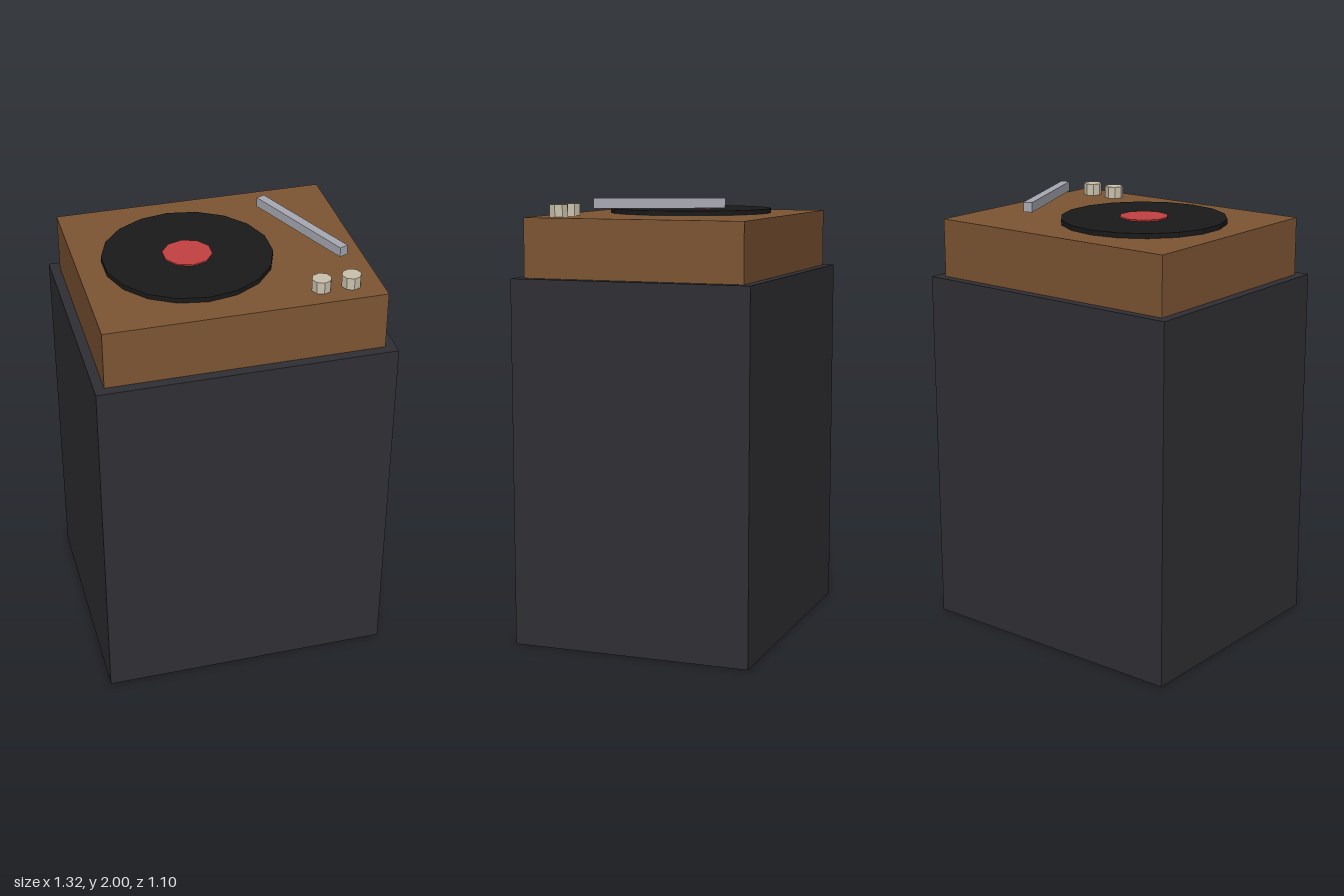
import * as THREE from 'three';

const material = (color) => new THREE.MeshStandardMaterial({ color, flatShading: true });

export function createModel() {
  const model = new THREE.Group();
  model.name = 'turntableOnCabinet';

  // Adds a part whose underside sits at height y
  const add = (name, geometry, mat, x, y, z, height) => {
    const mesh = new THREE.Mesh(geometry, mat);
    mesh.name = name;
    mesh.position.set(x, y + height / 2, z);
    model.add(mesh);
    return mesh;
  };
  const box = (name, mat, [w, h, d], [x, y, z]) =>
    add(name, new THREE.BoxGeometry(w, h, d), mat, x, y, z, h);
  const disc = (name, mat, radius, h, sides, [x, y, z]) =>
    add(name, new THREE.CylinderGeometry(radius, radius, h, sides), mat, x, y, z, h);

  const deckTop = 1.916;

  // Cabinet and wooden deck
  box('cabinet', material(0x302f34), [1.32, 1.652, 1.1], [0, 0, 0]);
  box('deck', material(0x7d5533), [1.23, deckTop - 1.652, 1.012], [-0.001, 1.652, -0.001]);

  // Record with its centre label
  disc('record', material(0x1a1a1b), 0.374, 0.022, 18, [-0.133, deckTop, -0.001]);
  disc('recordLabel', material(0xc44141), 0.11, 0.006, 10, [-0.133, deckTop + 0.022, -0.001]);

  // Tone arm, slanting across the deck
  const arm = box('toneArm', material(0xa8aab4), [0.041, 0.044, 0.572], [0.395, 1.956, -0.046]);
  arm.rotation.y = 0.4;

  // Control knobs
  const knobMaterial = material(0xcbc2ad);
  [0.351, 0.483].forEach((x) => disc('knob', knobMaterial, 0.043, 0.054, 8, [x, deckTop, 0.395]));

  return model;
}
